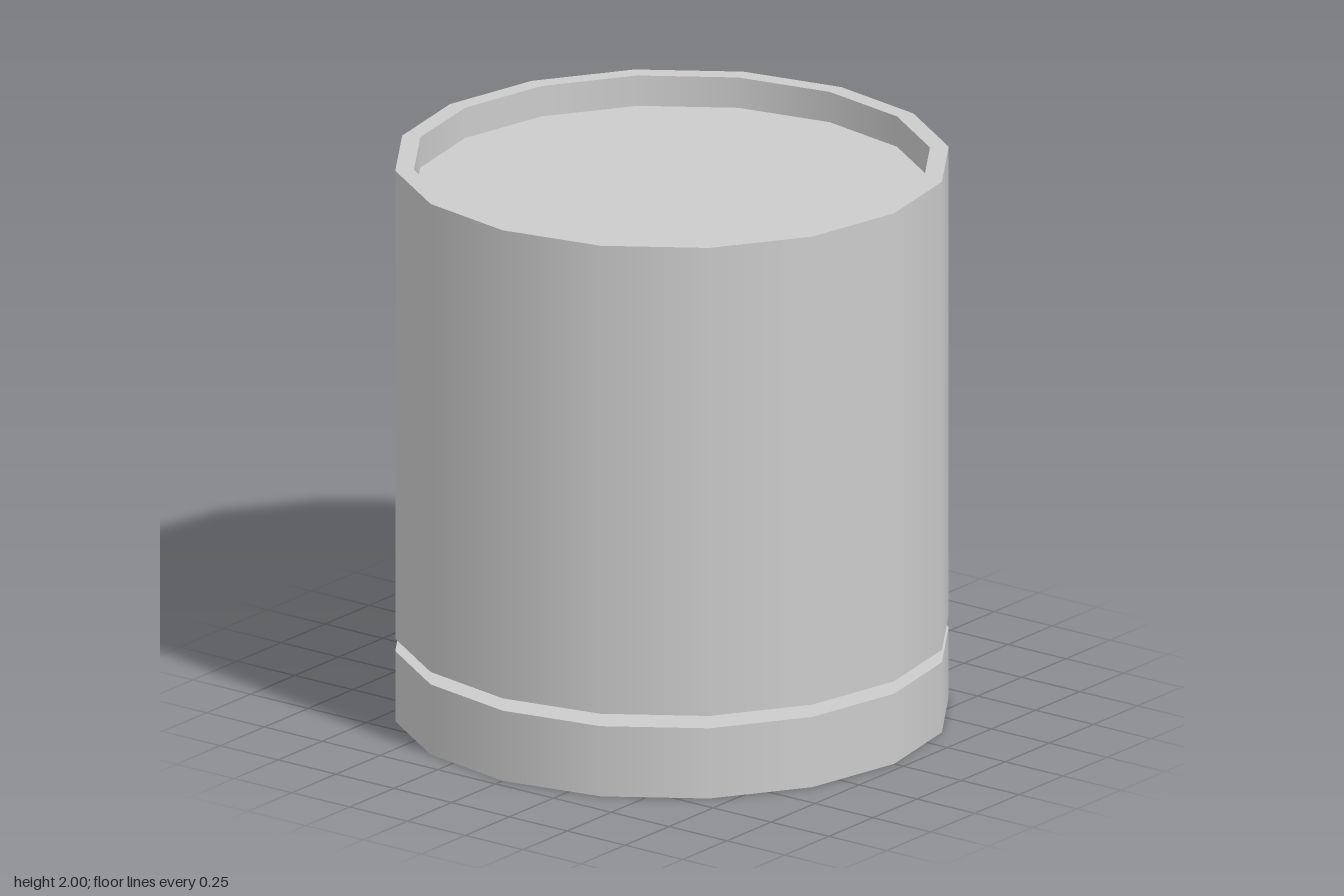
import * as THREE from 'three';
import { mergeGeometries } from 'three/addons/utils/BufferGeometryUtils.js';

const SIDES = 16;
const OUTER = 0.96;
const INNER = 0.895;

// Open-bottomed drum: outer wall, flat rim, inner wall and a sunken floor.
// Each profile segment is its own lathe, so corners stay sharp and walls stay smooth.
function drumGeometry(bottom, top, floor) {
  const profile = [[OUTER, bottom], [OUTER, top], [INNER, top], [INNER, floor], [0, floor]]
    .map(([r, y]) => new THREE.Vector2(r, y));
  const bands = profile.slice(1).map((p, i) => new THREE.LatheGeometry([profile[i], p], SIDES));
  return mergeGeometries(bands);
}

export function createModel() {
  const group = new THREE.Group();
  group.name = 'canister';
  const material = new THREE.MeshStandardMaterial({ color: 0xcccccc, side: THREE.DoubleSide });

  // Shallow base and tall body, separated by a narrow gap
  const parts = [
    ['base', 0, 0.255, 0.075],
    ['body', 0.3, 2, 1.89],
  ];
  for (const [name, bottom, top, floor] of parts) {
    const mesh = new THREE.Mesh(drumGeometry(bottom, top, floor), material);
    mesh.name = name;
    group.add(mesh);
  }
  return group;
}
